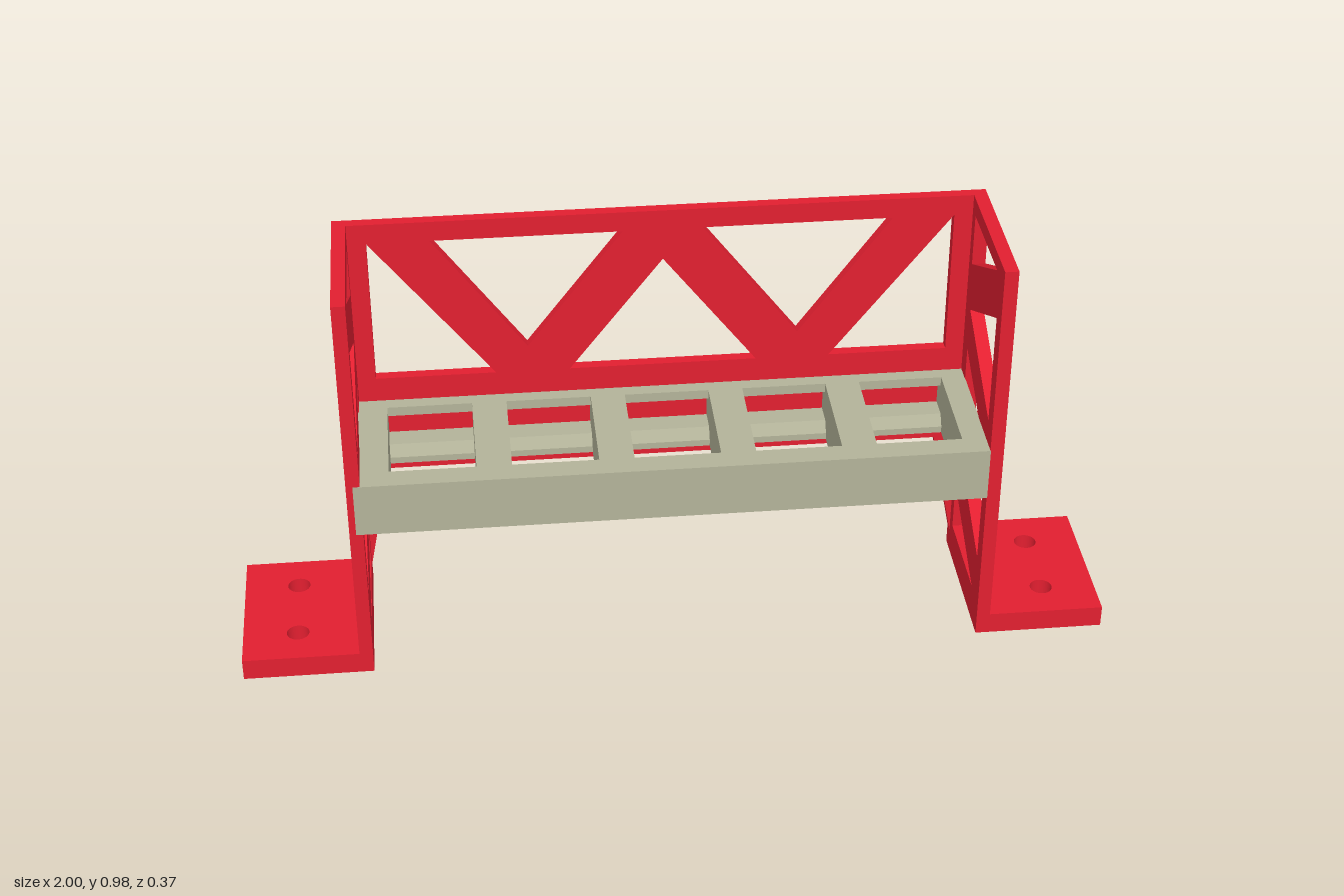
import * as THREE from 'three';

const red = new THREE.MeshStandardMaterial({ color: 0xe21f30 });
const grey = new THREE.MeshStandardMaterial({ color: 0xb3b399 });
const HALF_Z = 0.183;

const toPath = (pts, Type = THREE.Path) => new Type(pts.map(([a, b]) => new THREE.Vector2(a, b)));

// Flat plate with cut-outs, extruded along +z; the outline runs counter-clockwise
function plate(outline, holes, depth) {
  const shape = toPath(outline, THREE.Shape);
  shape.holes = holes;
  return new THREE.ExtrudeGeometry(shape, { depth, bevelEnabled: false, curveSegments: 24 });
}

// Profile given as [z, y], extruded from x0 to x1; reversed so it stays counter-clockwise
function alongX(profile, holes, x0, x1) {
  const flip = (pts) => pts.map(([z, y]) => [-z, y]).reverse();
  return plate(flip(profile), holes.map((h) => toPath(flip(h))), x1 - x0)
    .rotateY(Math.PI / 2).translate(x0, 0, 0);
}

function add(parent, name, geometry, material) {
  const mesh = new THREE.Mesh(geometry, material);
  mesh.name = name;
  parent.add(mesh);
  return mesh;
}

const rect = (a0, b0, a1, b1) => [[a0, b0], [a1, b0], [a1, b1], [a0, b1]];
const mirrorX = (pts) => pts.map(([x, y]) => [-x, y]);

export function createModel() {
  const model = new THREE.Group();

  // Side panels with zigzag bracing
  const sideHoles = [
    [[0.11, 0.943], [-0.13, 0.943], [-0.13, 0.818]],
    [[0.14, 0.84], [-0.113, 0.707], [0.14, 0.572]],
    [[-0.113, 0.602], [0.052, 0.516], [-0.113, 0.428]],
    [[0.14, 0.46], [-0.113, 0.323], [0.14, 0.19]],
    [[-0.13, 0.208], [-0.13, 0.083], [0.11, 0.083]],
  ];
  const sideOutline = rect(-HALF_Z, 0, HALF_Z, 0.981);
  add(model, 'leftSidePanel', alongX(sideOutline, sideHoles, 0.702, 0.733), red);
  add(model, 'rightSidePanel', alongX(sideOutline, sideHoles, -0.733, -0.702), red);

  // Feet with two screw holes each
  for (const side of [1, -1]) {
    const screwHoles = [-0.09, 0.09].map((z) =>
      new THREE.Path().absarc(side * 0.874, z, 0.026, 0, Math.PI * 2));
    const x0 = side > 0 ? 0.73 : -1;
    const foot = plate(rect(x0, -HALF_Z, x0 + 0.27, HALF_Z), screwHoles, 0.052);
    foot.rotateX(-Math.PI / 2);
    add(model, side > 0 ? 'leftFoot' : 'rightFoot', foot, red);
  }

  // Back panel: truss on top, solid band, tapered gussets below
  const corner = [[-0.66, 0.933], [-0.66, 0.578], [-0.385, 0.578]];
  const inverted = [[-0.52, 0.933], [-0.09, 0.933], [-0.31, 0.645]];
  const middle = [[0, 0.857], [-0.215, 0.578], [0.215, 0.578]];
  const trussHoles = [corner, inverted, middle, mirrorX(corner), mirrorX(inverted)].map((h) => toPath(h));
  const half = [[0.647, 0.328], [0.702, 0.05], [0.71, 0.05], [0.71, 0.981]];
  const backOutline = [...half, ...mirrorX(half).reverse()];
  const back = add(model, 'backPanel', plate(backOutline, trussHoles, 0.025), red);
  back.position.z = -HALF_Z;

  // Slotted tray: solid dividers between open cells
  const tray = new THREE.Group();
  tray.name = 'tray';
  model.add(tray);
  const Y0 = 0.389, Y1 = 0.518, ZB = -0.158, ZF = 0.184;
  const cellHalf = 0.097, pitch = 0.273, offset = 0.005;
  const frontWall = [[ZF, Y0], [ZF, Y1], [0.13, Y1], [0.13, 0.465], [0.148, 0.465], [0.148, Y0]];
  const backLip = rect(ZB, 0.495, -0.126, Y1);
  const backLedge = [[ZB, Y0], [-0.088, Y0], [-0.088, 0.405], [-0.106, 0.43], [ZB, 0.43]];

  let x = -0.718;
  for (let i = -2; i <= 2; i++) {
    const a = offset + i * pitch - cellHalf, b = offset + i * pitch + cellHalf;
    add(tray, 'divider', alongX(rect(ZB, Y0, ZF, Y1), [], x, a), grey);
    add(tray, 'cellFrontWall', alongX(frontWall, [], a, b), grey);
    add(tray, 'cellBackLip', alongX(backLip, [], a, b), grey);
    add(tray, 'cellBackLedge', alongX(backLedge, [], a, b), grey);
    x = b;
  }
  add(tray, 'divider', alongX(rect(ZB, Y0, ZF, Y1), [], x, 0.703), grey);

  return model;
}
